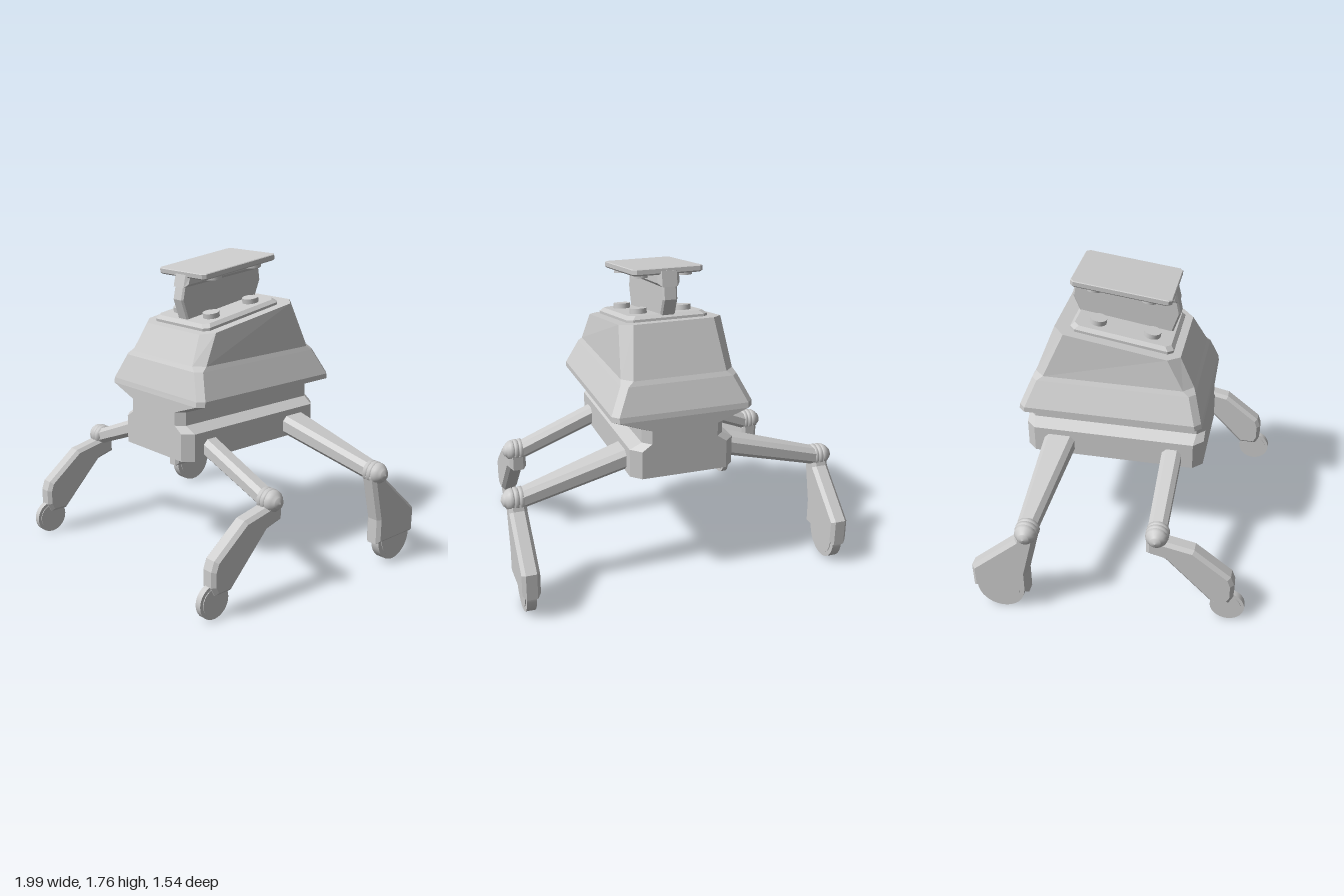
import * as THREE from 'three';

const mat = new THREE.MeshStandardMaterial({ color: 0xcccccc });

function add(parent, name, geo, x = 0, y = 0, z = 0) {
  const m = new THREE.Mesh(geo, mat);
  m.name = name;
  m.position.set(x, y, z);
  parent.add(m);
  return m;
}

// Flat-shaded skin over a stack of equal-length rings, capped at both ends
function loft(rings) {
  const n = rings[0].length;
  const pos = [];
  const tri = (a, b, c) => pos.push(...a, ...b, ...c);
  for (let i = 0; i < rings.length - 1; i++) {
    for (let j = 0; j < n; j++) {
      const k = (j + 1) % n, lo = rings[i], hi = rings[i + 1];
      tri(lo[j], lo[k], hi[k]);
      tri(lo[j], hi[k], hi[j]);
    }
  }
  const first = rings[0], last = rings[rings.length - 1];
  for (let j = 1; j < n - 1; j++) {
    tri(first[0], first[j + 1], first[j]);
    tri(last[0], last[j], last[j + 1]);
  }
  const g = new THREE.BufferGeometry();
  g.setAttribute('position', new THREE.Float32BufferAttribute(pos, 3));
  g.computeVertexNormals();
  return g;
}

// Rectangle with cut corners, counter-clockwise in (u, v)
function cutRect(u0, u1, v0, v1, c) {
  return [[u0 + c, v0], [u1 - c, v0], [u1, v0 + c], [u1, v1 - c],
    [u1 - c, v1], [u0 + c, v1], [u0, v1 - c], [u0, v0 + c]];
}

// Horizontal ring; yFront and yBack let the section lean
function level(hx, zFront, zBack, cut, yFront, yBack = yFront) {
  return cutRect(-hx, hx, -zFront, -zBack, cut).map(([x, v]) => {
    const t = (zFront + v) / (zFront - zBack);
    return [x, yFront + (yBack - yFront) * t, -v];
  });
}

// Ring facing +x, for arms
const armEnd = (x, z0, z1, y0, y1) =>
  cutRect(-z1, -z0, y0, y1, 0.026).map(([u, y]) => [x, y, -u]);

// Thin plate with cut corners and a bevelled rim
function plate(hx, hz, h, cut, bevel) {
  return loft([
    level(hx - bevel, hz - bevel, -hz + bevel, cut, -h / 2),
    level(hx, hz, -hz, cut, -h / 2 + bevel),
    level(hx, hz, -hz, cut, h / 2 - bevel / 2),
    level(hx - bevel / 2, hz - bevel / 2, -hz + bevel / 2, cut, h / 2),
  ]);
}

// Side profile of [z, y] points given a width along x, with chamfered edges
function sideExtrude(points, width, bevel) {
  const shape = new THREE.Shape(points.map(([z, y]) => new THREE.Vector2(-z, y)));
  const g = new THREE.ExtrudeGeometry(shape, {
    depth: width - 2 * bevel, bevelEnabled: true, bevelThickness: bevel,
    bevelSize: bevel, bevelOffset: -bevel, bevelSegments: 1,
  });
  return g.translate(0, 0, -(width - 2 * bevel) / 2).rotateY(Math.PI / 2);
}

// Ringed knuckle with a domed outer cap and a small pin, turned about x
function jointGeometry() {
  const profile = [[0, -0.055], [0.048, -0.05], [0.056, -0.035], [0.066, -0.033], [0.066, -0.016],
    [0.057, -0.014], [0.057, -0.008], [0.066, -0.006], [0.066, 0.012], [0.057, 0.014],
    [0.057, 0.02], [0.064, 0.022], [0.06, 0.04], [0.048, 0.057], [0.032, 0.068],
    [0.032, 0.074], [0.012, 0.08], [0, 0.086]];
  const g = new THREE.LatheGeometry(profile.map(([r, a]) => new THREE.Vector2(r, a)), 20);
  return g.rotateZ(-Math.PI / 2);
}

function wheelGeometry(r, width) {
  const h = width / 2;
  const tread = new THREE.CylinderGeometry(r, r, width, 32);
  return { tread: tread.rotateZ(Math.PI / 2),
    hub: new THREE.CylinderGeometry(r * 0.8, r * 0.8, 2 * h + 0.008, 32).rotateZ(Math.PI / 2) };
}

function leg(name, s) {
  const g = new THREE.Group();
  g.name = name;
  add(g, 'upperArm', loft([armEnd(0.26, ...s.root), armEnd(s.x - 0.02, ...s.tip)]));
  add(g, 'kneeJoint', jointGeometry(), s.x, s.joint[1], s.joint[0]);
  add(g, 'lowerLeg', sideExtrude(s.profile, 0.1, 0.02), s.x);
  const w = wheelGeometry(s.wheel[2], s.wheel[3]);
  add(g, 'wheel', w.tread, s.x, s.wheel[1], s.wheel[0]);
  add(g, 'wheelHub', w.hub, s.x, s.wheel[1], s.wheel[0]);
  return g;
}

export function createModel() {
  const model = new THREE.Group();
  model.name = 'walker';

  // Hull: lower box, side groove, flared skirt and sloping upper shell
  add(model, 'hull', loft([
    level(0.30, 0.44, -0.61, 0.055, 0.67),
    level(0.30, 0.44, -0.61, 0.055, 0.83),
    level(0.235, 0.44, -0.61, 0.045, 0.868),
    level(0.235, 0.44, -0.61, 0.045, 0.945),
    level(0.405, 0.44, -0.61, 0.035, 1.01),
    level(0.405, 0.435, -0.605, 0.035, 1.04),
    level(0.335, 0.39, -0.545, 0.035, 1.185),
    level(0.322, 0.375, -0.53, 0.055, 1.21),
    level(0.295, 0.29, -0.42, 0.065, 1.37, 1.487),
  ]));

  // Tilted base plate with four studs
  const base = new THREE.Group();
  base.name = 'mountBase';
  base.position.set(0, 1.435, -0.045);
  base.rotation.x = 0.16;
  model.add(base);
  add(base, 'basePlate', loft([
    level(0.235, 0.295, -0.295, 0.03, -0.03),
    level(0.235, 0.295, -0.295, 0.03, 0.005),
    level(0.215, 0.275, -0.275, 0.03, 0.024),
  ]));

  // Upper plate with studs below it
  const top = new THREE.Group();
  top.name = 'topDeck';
  top.position.set(0, 1.708, -0.052);
  top.rotation.x = 0.125;
  model.add(top);
  add(top, 'topPlate', plate(0.2, 0.283, 0.036, 0.018, 0.008));

  const stud = new THREE.CylinderGeometry(0.048, 0.048, 0.04, 20);
  for (const x of [-0.13, 0.13]) {
    for (const z of [-0.155, 0.155]) {
      add(base, 'baseStud', stud, x, 0.033, z);
      add(top, 'deckStud', stud, x, -0.02, z);
    }
  }

  // Upright fin, with a wider collar under the deck
  add(model, 'fin', sideExtrude([[0.21, 1.40], [0.255, 1.53], [0.225, 1.675],
    [-0.335, 1.742], [-0.36, 1.59], [-0.32, 1.49]], 0.085, 0.01));
  add(model, 'finCollar', sideExtrude([[0.245, 1.60], [0.227, 1.68],
    [-0.335, 1.745], [-0.352, 1.66]], 0.125, 0.02));

  // Legs, built for the left side and mirrored
  const front = {
    x: 0.77, joint: [0.268, 0.553],
    root: [0.205, 0.32, 0.69, 0.80], tip: [0.21, 0.315, 0.50, 0.60],
    profile: [[0.21, 0.53], [0.21, 0.44], [0.32, 0.41], [0.58, 0.14], [0.685, 0.14],
      [0.71, 0.19], [0.71, 0.28], [0.69, 0.335], [0.48, 0.5], [0.31, 0.535]],
    wheel: [0.677, 0.1, 0.098, 0.036],
  };
  const rear = {
    x: 0.91, joint: [-0.435, 0.578],
    root: [-0.495, -0.31, 0.69, 0.805], tip: [-0.495, -0.385, 0.53, 0.63],
    profile: [[-0.375, 0.56], [-0.44, 0.29], [-0.44, 0.14], [-0.765, 0.14],
      [-0.768, 0.29], [-0.5, 0.53], [-0.48, 0.6], [-0.40, 0.6]],
    wheel: [-0.61, 0.14, 0.138, 0.054],
  };
  for (const [side, sx] of [['left', 1], ['right', -1]]) {
    for (const [end, spec] of [['Front', front], ['Rear', rear]]) {
      const l = leg(side + end + 'Leg', spec);
      l.scale.x = sx;
      model.add(l);
    }
  }
  return model;
}
